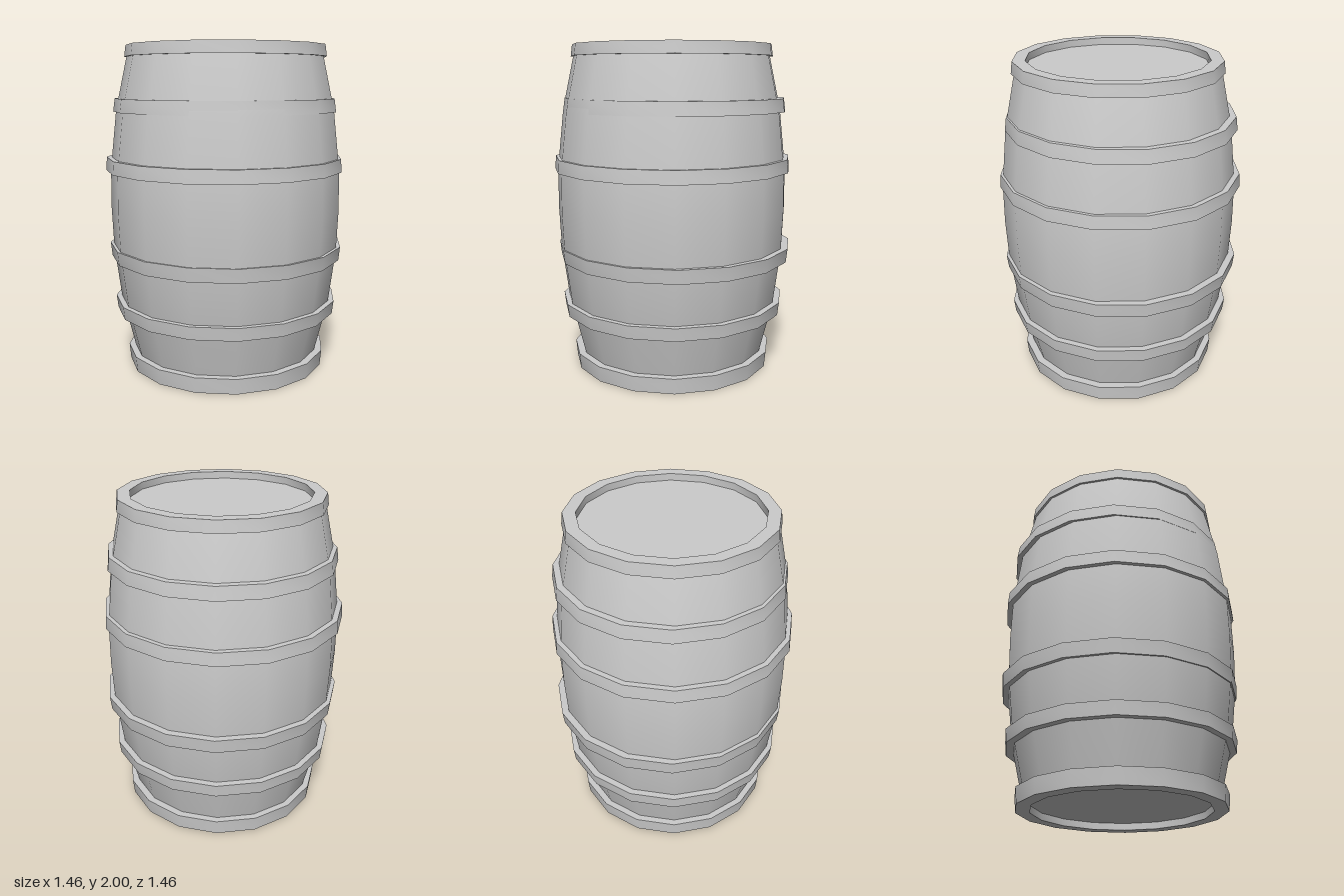
import * as THREE from 'three';
import { toCreasedNormals } from 'three/addons/utils/BufferGeometryUtils.js';

const SIDES = 16;
const HALF_STEP = Math.PI / SIDES;
// Widths below are measured across the flats; corners lie a little further out
const CORNER = 1 / Math.cos(HALF_STEP);

export function createModel() {
  const barrel = new THREE.Group();
  barrel.name = 'barrel';
  const material = new THREE.MeshStandardMaterial({ color: 0xcccccc });

  function add(name, geometry, x = 0, y = 0, z = 0) {
    const mesh = new THREE.Mesh(geometry, material);
    mesh.name = name;
    mesh.position.set(x, y, z);
    barrel.add(mesh);
    return mesh;
  }

  // Sixteen-sided turned part: smooth around, sharp at its rims
  function turned(profile) {
    const points = profile.map(([r, y]) => new THREE.Vector2(r * CORNER, y));
    return toCreasedNormals(new THREE.LatheGeometry(points, SIDES, HALF_STEP), 0.7);
  }

  // Band with a closed four-sided section
  function band(y0, y1, outer0, outer1, inner) {
    return turned([[inner, y0], [outer0, y0], [outer1, y1], [inner, y1], [inner, y0]]);
  }

  // Bulging staves
  add('staves', turned([
    [0.565, 0.05], [0.578, 0.10], [0.638, 0.35], [0.656, 0.43], [0.69, 0.70], [0.697, 0.78],
    [0.706, 1.0], [0.703, 1.24], [0.695, 1.32], [0.664, 1.6], [0.648, 1.68], [0.594, 1.93], [0.585, 1.96],
  ]), 0, 0, 0.008);

  // Hoops: bottom, top, outer half width at bottom and top, inner, x and z shift
  const hoops = [
    ['lowerHoop', 0.35, 0.43, 0.682, 0.691, 0.61, 0.002, 0.004],
    ['lowerMiddleHoop', 0.69, 0.775, 0.713, 0.722, 0.66, 0.007, -0.008],
    ['upperMiddleHoop', 1.24, 1.32, 0.726, 0.72, 0.66, -0.005, 0],
    ['upperHoop', 1.60, 1.68, 0.681, 0.67, 0.61, 0.003, -0.011],
  ];
  for (const [name, y0, y1, outer0, outer1, inner, x, z] of hoops) {
    add(name, band(y0, y1, outer0, outer1, inner), x, 0, z);
  }

  // End rims, standing proud of the recessed heads
  add('bottomRim', band(0.004, 0.10, 0.611, 0.62, 0.527), 0.003, 0, 0.01);
  add('topRim', band(1.93, 2.0, 0.61, 0.601, 0.527), 0.003, 0, 0.008);

  // Flat heads
  const head = new THREE.CircleGeometry(0.54 * CORNER, SIDES, HALF_STEP);
  add('topHead', head, 0.003, 1.957, 0.008).rotation.x = -Math.PI / 2;
  add('bottomHead', head, 0.003, 0.047, 0.01).rotation.x = Math.PI / 2;

  return barrel;
}
